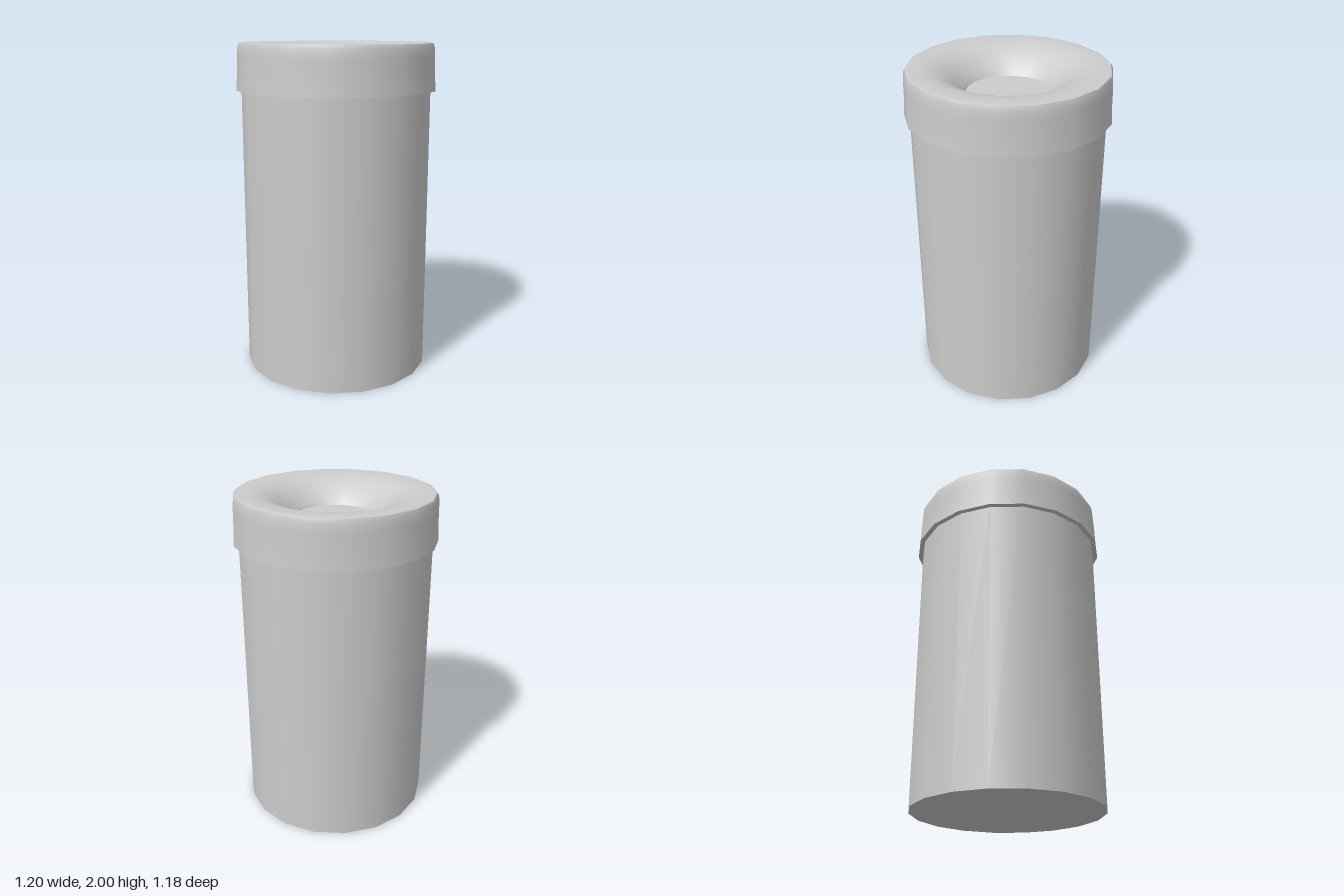
import * as THREE from 'three';

const SIDES = 18;
const material = new THREE.MeshStandardMaterial({ color: 0xcccccc });

// Smooth surface of revolution with a corner on the x axis
function lathe(name, profile) {
  const points = profile.map(([r, y]) => new THREE.Vector2(r, y));
  const mesh = new THREE.Mesh(new THREE.LatheGeometry(points, SIDES, Math.PI / 2), material);
  mesh.name = name;
  return mesh;
}

export function createModel() {
  const group = new THREE.Group();
  group.name = 'cannister';

  // Closed body; its top disc is the floor of the funnel
  const body = new THREE.Mesh(
    new THREE.CylinderGeometry(0.57, 0.57, 1.85, SIDES, 1, false, Math.PI / 2), material);
  body.name = 'body';
  body.position.y = 0.925;
  group.add(body);

  // Lid: underside lip, slightly flared skirt, rounded rim and dished funnel
  const lid = new THREE.Group();
  lid.name = 'lid';
  lid.add(
    lathe('lidUnderside', [[0.565, 1.72], [0.6, 1.72]]),
    lathe('lidSkirt', [[0.6, 1.72], [0.594, 1.82], [0.592, 1.92], [0.589, 1.97], [0.58, 1.995]]),
    lathe('lidFunnel', [
      [0.58, 1.995], [0.57, 2], [0.5, 1.998], [0.45, 1.992], [0.4, 1.977],
      [0.35, 1.95], [0.3, 1.91], [0.265, 1.875], [0.25, 1.857], [0.24, 1.84],
    ]),
  );
  group.add(lid);
  return group;
}
